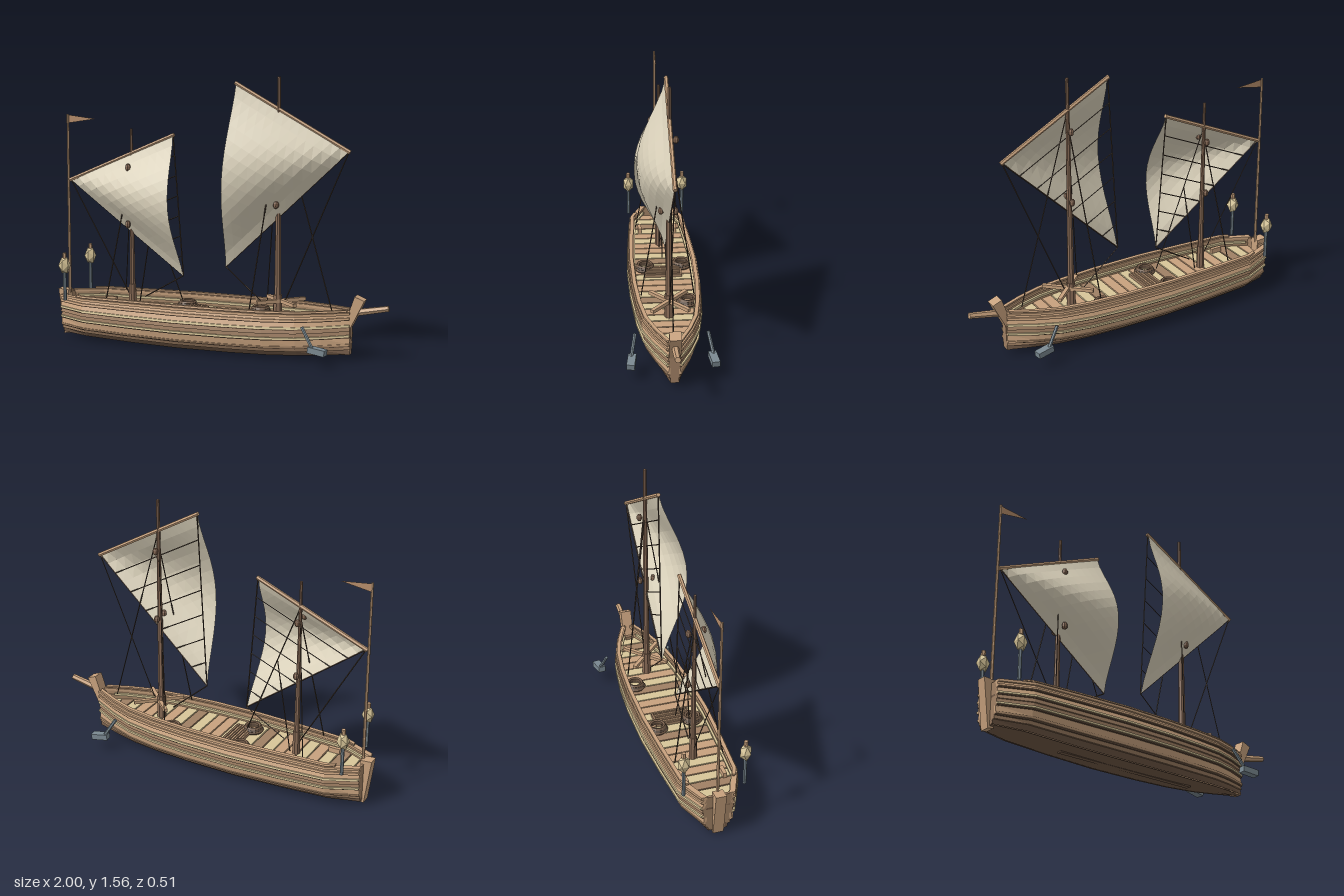
import * as THREE from 'three';

const V = (x, y, z) => new THREE.Vector3(x, y, z);
const mat = (name, color, side = THREE.FrontSide) =>
  new THREE.MeshStandardMaterial({ name, color, side, flatShading: true });

// Linear lookup in a list of [key, value] points
function lookup(points, k) {
  for (let i = 1; i < points.length; i++) {
    const [k0, v0] = points[i - 1], [k1, v1] = points[i];
    if (k <= k1) return v0 + (v1 - v0) * (k - k0) / (k1 - k0);
  }
  return points[points.length - 1][1];
}

// Hull lines: half width along x, section fullness by height, keel and sheer
const PLAN = [[-0.955, 0.085], [-0.78, 0.165], [-0.5, 0.185], [-0.2, 0.2], [0.1, 0.195], [0.32, 0.178], [0.5, 0.15], [0.64, 0.1], [0.785, 0.03]];
const SECTION = [[0, 0], [0.03, 0.52], [0.14, 0.7], [0.28, 0.84], [0.45, 0.94], [0.7, 0.99], [1, 0.95]];
const KEEL = [[-0.955, 0.025], [-0.5, 0.008], [-0.1, 0], [0.4, 0.008], [0.785, 0.032]];
const SHEER = [[-0.955, 0.26], [0.4, 0.26], [0.785, 0.272]];
const hullZ = (x, t) => lookup(PLAN, x) * lookup(SECTION, t);
const hullY = (x, t) => lookup(KEEL, x) * (1 - t) + lookup(SHEER, x) * t;

// Solid through equal cross-section loops, capped at both ends
function loft(loops) {
  const pos = [];
  const tri = (...p) => p.forEach(v => pos.push(v.x, v.y, v.z));
  const n = loops[0].length, last = loops[loops.length - 1];
  for (let i = 0; i + 1 < loops.length; i++) for (let j = 0; j < n; j++) {
    const k = (j + 1) % n, [a, b, c, d] = [loops[i][j], loops[i][k], loops[i + 1][k], loops[i + 1][j]];
    tri(a, b, c); tri(a, c, d);
  }
  for (let j = 1; j + 1 < n; j++) {
    tri(last[0], last[j], last[j + 1]);
    tri(loops[0][0], loops[0][j + 1], loops[0][j]);
  }
  const g = new THREE.BufferGeometry();
  g.setAttribute('position', new THREE.Float32BufferAttribute(pos, 3));
  g.computeVertexNormals();
  return g;
}

export function createModel() {
  const model = new THREE.Group();
  model.name = 'sailingShip';
  const dark = mat('darkWood', 0x725a47), brown = mat('brownWood', 0xa08064);
  const tan = mat('tanWood', 0xc8a27e), light = mat('paleWood', 0xd8c699);
  const rope = mat('rope', 0x55463a), grey = mat('greyMetal', 0x7a8890);
  const mastWood = mat('mastWood', 0x8a6c57);
  const canvas = mat('canvas', 0xdcd3bc, THREE.DoubleSide);
  const pennant = mat('pennantCloth', 0xb58c6a, THREE.DoubleSide);

  const add = (name, geo, m) => {
    const mesh = new THREE.Mesh(geo, m);
    mesh.name = name;
    model.add(mesh);
    return mesh;
  };
  const box = (name, m, size, at, rot = [0, 0, 0]) => {
    const mesh = add(name, new THREE.BoxGeometry(...size), m);
    mesh.position.set(...at);
    mesh.rotation.set(...rot);
    return mesh;
  };
  const rod = (name, m, a, b, r0, r1 = r0, sides = 6) => {
    const mesh = add(name, new THREE.CylinderGeometry(r1, r0, a.distanceTo(b), sides), m);
    mesh.position.copy(a).lerp(b, 0.5);
    mesh.quaternion.setFromUnitVectors(V(0, 1, 0), b.clone().sub(a).normalize());
    return mesh;
  };

  // Clinker planking, one strake per side
  function strake(name, m, t0, t1, out0, out1, from = -0.955, to = 0.785, thick = 0.016) {
    const xs = [from, ...PLAN.map(p => p[0]).filter(x => x > from && x < to), to];
    for (const s of [1, -1]) {
      const loops = xs.map(x => {
        const z0 = hullZ(x, t0) + (t0 > 0 ? out0 : 0), z1 = hullZ(x, t1) + out1;
        const lift = t0 < 0.1 ? 0.01 : 0;
        const p = [[z1, hullY(x, t1)], [z0, hullY(x, t0)],
          [Math.max(0, z0 - thick), hullY(x, t0) + lift], [Math.max(0, z1 - thick), hullY(x, t1) + lift]]
          .map(([z, y]) => V(x, y, s * z));
        return s > 0 ? p : p.reverse();
      });
      add(name, loft(loops), m);
    }
  }
  [[0, 0.03, dark], [0.03, 0.14, dark], [0.14, 0.28, brown], [0.28, 0.43, tan],
    [0.43, 0.58, brown], [0.58, 0.7, brown], [0.7, 0.84, tan], [0.84, 1, tan]]
    .forEach(([a, b, m]) => strake('hullStrake', m, a, b, 0.009, -0.002));
  // Wales, each with a dark seam under it
  for (const [t, m] of [[0.24, tan], [0.45, light], [0.69, light], [0.86, tan]]) {
    strake('wale', m, t, t + 0.045, 0.016, 0.014);
    strake('waleSeam', dark, t - 0.025, t, 0.01, 0.01);
  }
  strake('railCap', tan, 0.96, 1.02, 0.014, 0.014, -0.955, 0.785, 0.034);
  strake('topRail', dark, 1.02, 1.045, 0.004, 0.004, -0.83, 0.77, 0.016);
  strake('topRailCap', tan, 1.045, 1.075, 0.008, 0.006, -0.83, 0.77, 0.022);
  strake('innerRail', light, 0.84, 0.9, -0.014, -0.014, -0.92, 0.72, 0.014);

  // Slab spanning the hull between two stations
  const span = (name, m, x0, x1, y0, y1, inset) => add(name, loft([x0, x1].map(x => {
    const z = Math.max(0.01, lookup(PLAN, x) - inset);
    return [V(x, y1, z), V(x, y0, z), V(x, y0, -z), V(x, y1, -z)];
  })), m);
  // Deck over a dark base
  for (let i = 0; i + 1 < PLAN.length; i++) span('deckBase', dark, PLAN[i][0], PLAN[i + 1][0], 0.178, 0.19, 0.008);
  const deckColours = [tan, light, brown, light, tan, light, tan];
  for (let i = 0; i < 25; i++) {
    const x = -0.945 + i * 0.068;
    span('deckPlank', deckColours[i % 7], x, x + 0.06, 0.188, 0.2, 0.01);
  }
  // Transom
  add('transom', loft([-0.955, -0.94].map(x => {
    const ts = [1, 0.7, 0.45, 0.28, 0.03];
    return [...ts.map(t => V(x, hullY(x, t), hullZ(x, t))),
      ...ts.reverse().map(t => V(x, hullY(x, t), -hullZ(x, t)))];
  })), brown);

  // Posts cut from a side outline
  const sidePlate = (name, m, pts, width) => {
    const g = new THREE.ExtrudeGeometry(new THREE.Shape(pts.map(p => new THREE.Vector2(...p))), { depth: width, bevelEnabled: false });
    return add(name, g.translate(0, 0, -width / 2), m);
  };
  sidePlate('sternPost', tan, [[-0.965, 0.015], [-0.93, 0.02], [-0.935, 0.28], [-1, 0.285]], 0.06);
  sidePlate('stem', brown, [[0.74, 0.03], [0.785, 0.035], [0.79, 0.22], [0.74, 0.22]], 0.045);
  sidePlate('stemHead', tan, [[0.75, 0.19], [0.79, 0.19], [0.865, 0.345], [0.81, 0.367]], 0.065);
  box('keel', dark, [0.9, 0.012, 0.03], [-0.05, 0.008, 0]);
  rod('bowsprit', tan, V(0.8, 0.27, 0), V(0.995, 0.308, 0), 0.021, 0.017);

  // Hatch grating
  box('hatchFrame', brown, [0.11, 0.02, 0.22], [-0.15, 0.208, 0]);
  for (let i = 0; i < 6; i++) box('hatchSlat', i % 2 ? brown : tan, [0.01, 0.008, 0.2], [-0.19 + i * 0.016, 0.222, 0]);
  // Rope coils
  for (const [x, z] of [[-0.23, -0.115], [0.22, -0.115], [-0.2, 0.105]])
    for (let i = 0; i < 3; i++) {
      const coil = add('ropeCoil', new THREE.TorusGeometry(0.052 - i * 0.005, 0.011, 5, 14), i === 1 ? rope : dark);
      coil.rotation.x = Math.PI / 2;
      coil.position.set(x, 0.211 + i * 0.01, z);
    }
  // Stern benches and crossed bars at the main mast
  for (const s of [1, -1]) {
    box('sternBench', tan, [0.07, 0.03, 0.022], [-0.72, 0.215, s * 0.11]);
    box('crossBar', tan, [0.3, 0.02, 0.022], [0.38, 0.307, 0], [0, s * 0.75, 0]);
  }

  // One lateen rig: mast, yard, sail, battens, blocks and rigging
  function rig({ x, top, r, a, b, c, blocks, ropes }) {
    rod('mast', mastWood, V(x, 0.19, 0), V(x, top, 0), r, r * 0.45, 8);
    rod('mastCollar', mastWood, V(x, 0.19, 0), V(x, 0.34, 0), r * 1.3, r * 1.2, 8);
    rod('yard', tan, a.clone().lerp(b, -0.01), a.clone().lerp(b, 1.01), 0.012);
    // Triangular sail grid, bellied towards +z along its loose edge
    const n = 14, pos = [];
    const at = (i, j) => {
      const s = i / n, t = i < n ? j / (n - i) : 0, p = a.clone().lerp(c, t).lerp(b, s);
      const belly = Math.pow(Math.max(0, Math.sin(Math.PI * t)), 1.4) * Math.pow(Math.max(0, Math.cos(Math.PI * s / 2)), 1.25);
      p.z += 0.004 + 0.158 * belly;
      return p;
    };
    const tri = (...p) => p.forEach(v => pos.push(v.x, v.y, v.z));
    for (let i = 0; i < n; i++) for (let j = 0; i + j < n; j++) {
      tri(at(i, j), at(i, j + 1), at(i + 1, j));
      if (i + j + 2 <= n) tri(at(i + 1, j), at(i, j + 1), at(i + 1, j + 1));
    }
    const g = new THREE.BufferGeometry();
    g.setAttribute('position', new THREE.Float32BufferAttribute(pos, 3));
    g.computeVertexNormals();
    add('sail', g, canvas);
    rod('leechRope', rope, a, c, 0.004, 0.004, 4);
    rod('footRope', rope, b, c, 0.004, 0.004, 4);
    for (let i = 1; i < 7; i++) rod('reefRope', rope, a.clone().lerp(c, i / 7), b.clone().lerp(c, i / 7), 0.003, 0.003, 4);
    for (const [y, z] of blocks) {
      const block = add('pulleyBlock', new THREE.SphereGeometry(0.02, 7, 5), mastWood);
      block.scale.set(0.85, 1.15, 0.8);
      block.position.set(x, y, z);
    }
    for (const [p, q] of ropes) rod('rigging', rope, V(...p), V(...q), 0.0035, 0.0035, 4);
  }
  rig({
    x: 0.36, top: 1.56, r: 0.021, a: V(0.11, 1.52, 0), b: V(0.76, 1.16, 0), c: V(0.05, 0.48, 0),
    blocks: [[1.265, -0.035], [0.85, -0.035], [0.855, 0.045]],
    ropes: [[[0.36, 1.3, 0], [0.24, 0.27, 0.15]], [[0.36, 1.3, 0], [0.25, 0.27, -0.15]],
      [[0.36, 1.38, 0], [0.675, 0.27, 0]], [[0.76, 1.16, 0], [0.4, 0.3, 0]], [[0.05, 0.48, 0], [0.28, 0.28, 0]]],
  });
  rig({
    x: -0.53, top: 1.25, r: 0.018, a: V(-0.27, 1.22, 0), b: V(-0.92, 0.94, 0), c: V(-0.21, 0.41, 0),
    blocks: [[1.02, -0.035], [0.7, -0.035], [1.03, 0.05], [0.7, 0.06]],
    ropes: [[[-0.53, 1.05, 0], [-0.635, 0.27, 0.14]], [[-0.53, 1.05, 0], [-0.635, 0.27, -0.14]],
      [[-0.53, 1.1, 0], [-0.215, 0.27, 0]], [[-0.92, 0.94, 0], [-0.55, 0.28, 0]], [[-0.21, 0.41, 0], [-0.45, 0.27, 0]],
      [[-0.4, 0.75, 0], [-0.49, 0.2, 0]]],
  });

  // Flagpole and pennant
  rod('flagpole', tan, V(-0.938, 0.26, 0), V(-0.934, 1.325, 0), 0.009, 0.007);
  const flag = new THREE.Shape([[-0.932, 1.32], [-0.932, 1.272], [-0.755, 1.3]].map(p => new THREE.Vector2(...p)));
  add('pennant', new THREE.ShapeGeometry(flag), pennant);

  for (const s of [1, -1]) {
    // Stern lanterns
    const x = -0.885, z = s * 0.172;
    rod('lanternPole', grey, V(x, 0.25, z), V(x, 0.42, z), 0.01);
    const lamp = add('lantern', new THREE.IcosahedronGeometry(0.036, 0), light);
    lamp.scale.y = 1.5;
    lamp.position.set(x, 0.457, z);
    rod('lanternCap', tan, V(x, 0.5, z), V(x, 0.53, z), 0.012);
    // Anchors
    rod('anchorShank', grey, V(0.56, 0.215, s * 0.2), V(0.63, 0.1, s * 0.226), 0.01);
    box('anchorHead', grey, [0.1, 0.034, 0.045], [0.655, 0.094, s * 0.225], [0, -s * 0.15, -0.12]);
  }
  return model;
}
